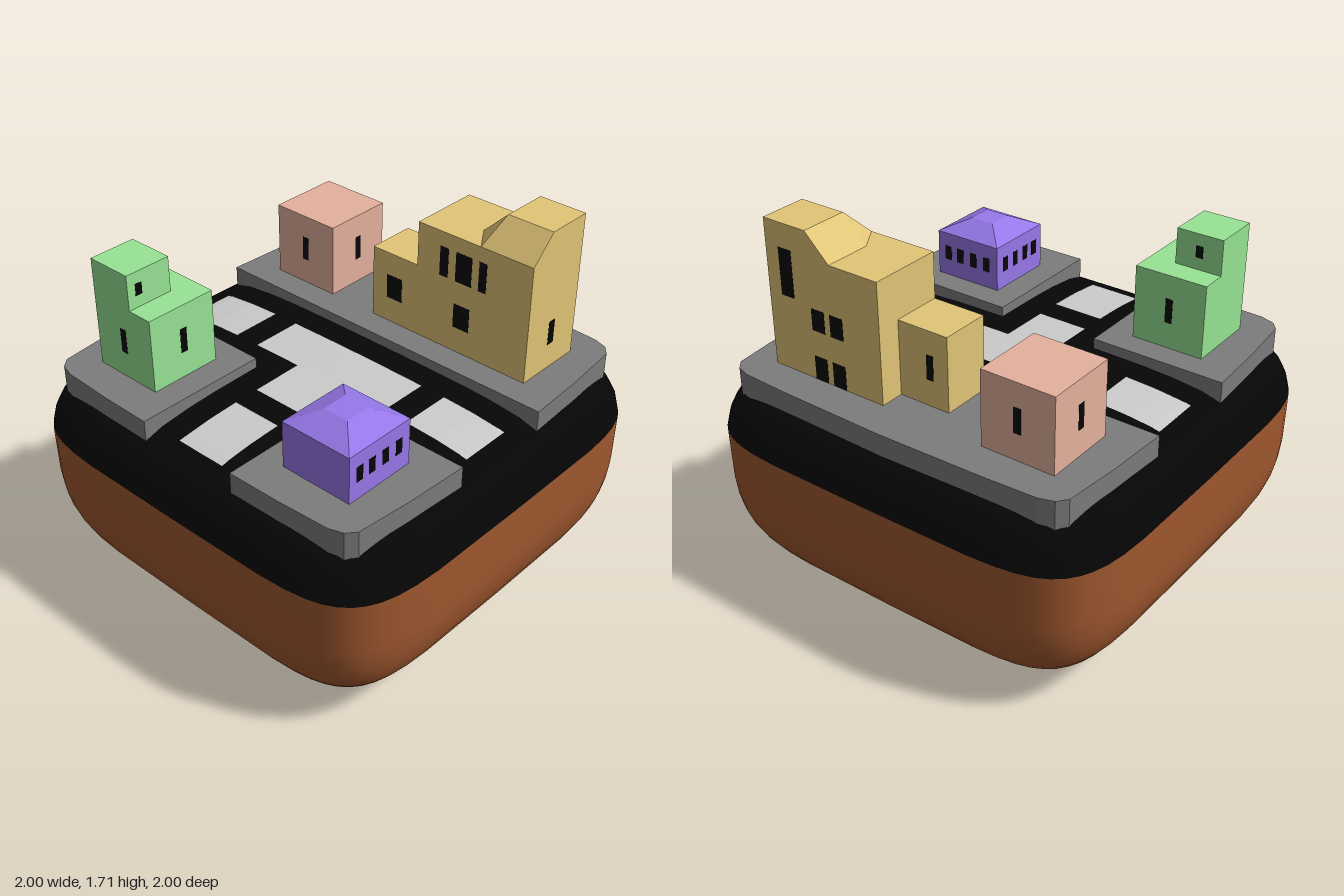
import * as THREE from 'three';
import { ConvexGeometry } from 'three/addons/geometries/ConvexGeometry.js';

const paint = (color, flatShading = true) => new THREE.MeshStandardMaterial({ color, flatShading });
const SEGMENTS = 48;
const GROUND = 1.04; // top of the pavements

// Road profile from rim to middle: [outline scale, height]
const ROAD = [[1, 0.745], [0.985, 0.82], [0.96, 0.88], [0.93, 0.92], [0.89, 0.942],
  [0.8, 0.967], [0.65, 0.983], [0.5, 0.99], [0, 0.997]];

// Stack of rounded-square sections, bottom to top: [scale, y]
function loft(rings) {
  const pos = [], index = [];
  const power = (v) => Math.sign(v) * Math.cbrt(Math.abs(v));
  rings.forEach(([s, y], i) => {
    for (let j = 0; j < SEGMENTS; j++) {
      const t = (j / SEGMENTS) * Math.PI * 2;
      pos.push(s * power(Math.cos(t)), y, s * power(Math.sin(t)));
      if (i === rings.length - 1) continue;
      const k = (j + 1) % SEGMENTS, a = i * SEGMENTS, b = a + SEGMENTS;
      index.push(a + j, b + j, a + k, b + j, b + k, a + k);
    }
  });
  const geo = new THREE.BufferGeometry();
  geo.setAttribute('position', new THREE.Float32BufferAttribute(pos, 3));
  geo.setIndex(index);
  geo.computeVertexNormals();
  return geo;
}

// Height of the domed road at a point
function roadHeight(x, z) {
  const s = (Math.abs(x) ** 6 + Math.abs(z) ** 6) ** (1 / 6);
  for (let i = 1; i < ROAD.length; i++) {
    const [s1, y1] = ROAD[i - 1], [s0, y0] = ROAD[i];
    if (s >= s0) return y0 + ((y1 - y0) * (s - s0)) / (s1 - s0);
  }
  return ROAD.at(-1)[1];
}

export function createModel() {
  const model = new THREE.Group();
  const black = paint(0x060606);
  const add = (parent, name, geo, mat) => {
    const mesh = new THREE.Mesh(geo, mat);
    mesh.name = name;
    parent.add(mesh);
    return mesh;
  };
  const block = (parent, name, mat, x0, x1, y0, y1, z0, z1) =>
    add(parent, name, new THREE.BoxGeometry(x1 - x0, y1 - y0, z1 - z0), mat)
      .position.set((x0 + x1) / 2, (y0 + y1) / 2, (z0 + z1) / 2);
  const hull = (parent, name, mat, pts) =>
    add(parent, name, new ConvexGeometry(pts.map((p) => new THREE.Vector3(...p))), mat);
  // Thin dark pane on a wall; axis is the wall's normal, at its position, c the centre along it
  const pane = (parent, axis, at, c, w, y0 = 1.16, y1 = 1.275) => {
    const d = 0.001;
    if (axis === 'z') block(parent, 'window', black, c - w / 2, c + w / 2, y0, y1, at - d, at + d);
    else block(parent, 'window', black, at - d, at + d, y0, y1, c - w / 2, c + w / 2);
  };
  const building = (name) => {
    const g = new THREE.Group();
    g.name = name;
    model.add(g);
    return g;
  };

  // Rounded earth block and the road layer over it
  const earth = [];
  for (let i = 0; i <= 16; i++) {
    const a = (i / 16) * Math.PI / 2, e = 2 / 3.6;
    const drop = i === 16 ? 0 : Math.cos(a) ** e;
    earth.push([Math.sin(a) ** e, 0.7 * (1 - drop)]);
  }
  earth.push(ROAD[0]);
  add(model, 'earthBlock', loft(earth), paint(0xa0582f, false));
  add(model, 'road', loft(ROAD), paint(0x060606, false));

  // Pavements
  const slab = (name, pts) => {
    const shape = new THREE.Shape(pts.map(([x, z]) => new THREE.Vector2(x, -z)));
    const geo = new THREE.ExtrudeGeometry(shape, { depth: GROUND - 0.87, bevelEnabled: false });
    geo.rotateX(-Math.PI / 2).translate(0, 0.87, 0);
    add(model, name, geo, paint(0x7c7c7c));
  };
  const rim = [[0.89, 0.25], [0.875, 0.55], [0.85, 0.81], [0.815, 0.852], [0.75, 0.873], [0.5, 0.885]];
  slab('backPavement', [...rim.map(([x, z]) => [x, -z]), [0, -0.895],
    ...rim.map(([x, z]) => [-x, -z]).reverse()]);
  for (const s of [-1, 1]) {
    slab(s < 0 ? 'frontRightPavement' : 'frontLeftPavement',
      [...rim, [0.25, 0.888], [0.25, 0.25]].map(([x, z]) => [s * x, z]));
  }

  // Pale road patches draped over the dome
  const pale = paint(0xbcbcbc);
  for (const [x0, x1, z0, z1] of [[-0.82, -0.5, -0.125, 0.125], [0.495, 0.815, -0.125, 0.125],
    [-0.375, 0.375, -0.125, 0.125], [-0.125, 0.125, 0.125, 0.375], [-0.125, 0.125, 0.495, 0.815]]) {
    const geo = new THREE.PlaneGeometry(x1 - x0, z1 - z0, 8, 8);
    geo.rotateX(-Math.PI / 2).translate((x0 + x1) / 2, 0, (z0 + z1) / 2);
    const p = geo.attributes.position;
    for (let i = 0; i < p.count; i++) p.setY(i, roadHeight(p.getX(i), p.getZ(i)) + 0.004);
    geo.computeVertexNormals();
    add(model, 'roadPatch', geo, pale);
  }

  // Green house with a corner tower
  const green = paint(0x98e494), gh = building('greenHouse');
  block(gh, 'walls', green, -0.72, -0.375, GROUND, 1.385, 0.372, 0.718);
  block(gh, 'tower', green, -0.72, -0.497, 1.385, 1.55, 0.492, 0.718);
  pane(gh, 'z', 0.718, -0.553, 0.035);
  pane(gh, 'z', 0.372, -0.547, 0.035);
  pane(gh, 'x', -0.375, 0.543, 0.035);
  pane(gh, 'x', -0.497, 0.66, 0.035, 1.44, 1.495);
  pane(gh, 'z', 0.492, -0.61, 0.035, 1.44, 1.495);

  // Pink cube house, one window on each side
  const ph = building('pinkHouse');
  block(ph, 'walls', paint(0xe6b29e), -0.72, -0.375, GROUND, 1.385, -0.722, -0.377);
  for (const z of [-0.722, -0.377]) pane(ph, 'z', z, -0.547, 0.035);
  for (const x of [-0.72, -0.375]) pane(ph, 'x', x, -0.55, 0.035);

  // Tan stepped building
  const tan = paint(0xe2c577), th = building('tanBuilding');
  block(th, 'lowWing', tan, -0.127, 0.123, GROUND, 1.385, -0.61, -0.377);
  block(th, 'mainBlock', tan, 0.123, 0.72, GROUND, 1.595, -0.722, -0.377);
  hull(th, 'slopedRoof', tan, [[0.373, 1.595, -0.722], [0.373, 1.595, -0.5], [0.453, 1.595, -0.377],
    [0.72, 1.595, -0.377], [0.72, 1.595, -0.722], [0.493, 1.712, -0.722], [0.493, 1.712, -0.497],
    [0.72, 1.712, -0.497], [0.72, 1.712, -0.722]]);
  for (const [c, w] of [[0.267, 0.045], [0.372, 0.085], [0.472, 0.04]]) pane(th, 'z', -0.377, c, w, 1.385, 1.525);
  for (const c of [-0.003, 0.372]) pane(th, 'z', -0.377, c, 0.085);
  pane(th, 'x', 0.72, -0.55, 0.04);
  pane(th, 'z', -0.61, -0.035, 0.035);
  pane(th, 'z', -0.722, 0.615, 0.07, 1.385, 1.6);
  for (const c of [0.355, 0.455]) {
    pane(th, 'z', -0.722, c, 0.07, 1.27, 1.37);
    pane(th, 'z', -0.722, c, 0.07, GROUND, 1.15);
  }

  // Purple house with a low hipped roof
  const purple = paint(0x9878ea), vh = building('purpleHouse');
  block(vh, 'walls', purple, 0.372, 0.718, GROUND, 1.255, 0.372, 0.718);
  const square = (a, b, y) => [[a, y, a], [a, y, b], [b, y, a], [b, y, b]];
  hull(vh, 'hippedRoof', purple, [...square(0.372, 0.718, 1.255), ...square(0.485, 0.605, 1.31)]);
  for (const c of [0.435, 0.513, 0.59, 0.66]) {
    for (const x of [0.372, 0.718]) pane(vh, 'x', x, c, 0.037, 1.12, 1.19);
    pane(vh, 'z', 0.372, c, 0.037, 1.12, 1.19);
  }
  return model;
}
